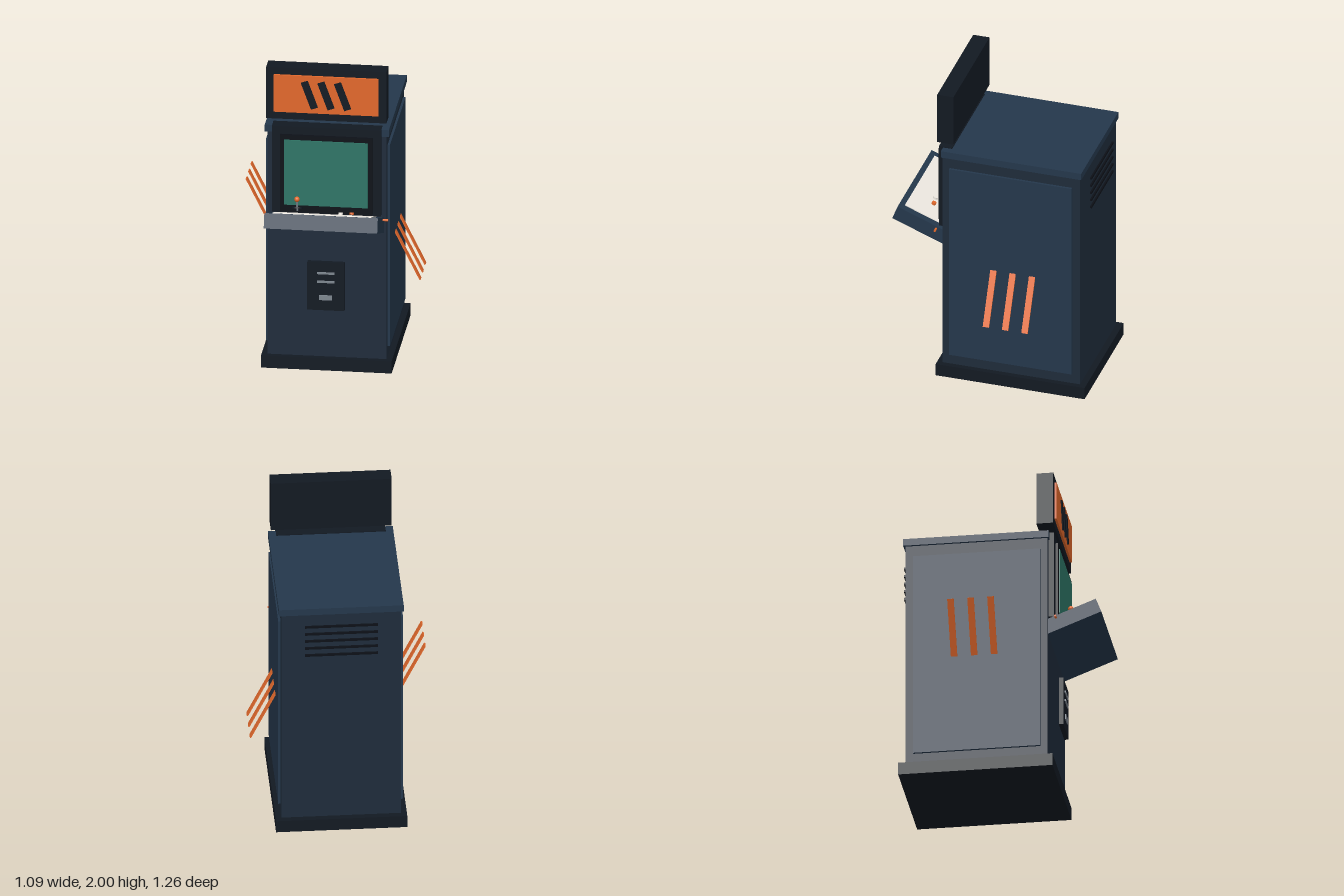
import * as THREE from 'three';

const paint = (color) => new THREE.MeshStandardMaterial({ color });
const navy = paint(0x1e2b3a), blue = paint(0x24374b), black = paint(0x121922), darkest = paint(0x0c1017);
const orange = paint(0xe2682b), cream = paint(0xede8e0), green = paint(0x2e7566), grey = paint(0x7d868f);

export function createModel() {
  const root = new THREE.Group();
  root.name = 'arcadeCabinet';

  const add = (name, geometry, material, x, y, z, parent = root) => {
    const mesh = new THREE.Mesh(geometry, material);
    mesh.name = name;
    mesh.position.set(x, y, z);
    parent.add(mesh);
    return mesh;
  };
  // Box given by its lowest and highest corner
  const box = (name, material, [x0, y0, z0], [x1, y1, z1], parent = root) =>
    add(name, new THREE.BoxGeometry(x1 - x0, y1 - y0, z1 - z0), material,
      (x0 + x1) / 2, (y0 + y1) / 2, (z0 + z1) / 2, parent);

  // Cabinet
  box('plinth', black, [-0.405, 0, -0.625], [0.405, 0.08, 0.335]);
  box('body', navy, [-0.37, 0.08, -0.585], [0.37, 1.56, 0.3]);
  box('roof', blue, [-0.385, 1.56, -0.597], [0.385, 1.605, 0.308]);

  // Side panels and their leaning stripes
  for (const side of [-1, 1]) {
    add('sidePanel', new THREE.BoxGeometry(0.025, 1.335, 0.79), blue, side * 0.3725, 0.8175, -0.14);
    for (const z of [-0.28, -0.155, -0.031]) {
      const stripe = add('sideStripe', new THREE.BoxGeometry(0.008, 0.69, 0.04), orange, side * 0.386, 0.798, z);
      stripe.rotation.z = 0.46;
    }
  }

  // Sign above the roof
  box('signCase', black, [-0.373, 1.66, 0.23], [0.373, 2, 0.335]);
  box('signPanel', orange, [-0.325, 1.71, 0.33], [0.325, 1.955, 0.349]);
  for (const x of [-0.103, 0, 0.103]) {
    const slash = add('signSlash', new THREE.BoxGeometry(0.045, 0.185, 0.01), black, x, 1.832, 0.351);
    slash.rotation.z = 0.35;
  }

  // Screen
  box('screenSurround', black, [-0.338, 1.04, 0.25], [0.338, 1.61, 0.335]);
  box('screenFrame', darkest, [-0.285, 1.05, 0.3], [0.285, 1.56, 0.353]);
  box('screen', green, [-0.26, 1.1, 0.34], [0.26, 1.53, 0.36]);

  // Sloping control deck
  const deck = new THREE.Group();
  deck.name = 'controlDeck';
  deck.position.set(0, 1.026, 0.446);
  deck.rotation.x = -0.37;
  root.add(deck);
  box('deckCase', blue, [-0.352, -0.0475, -0.18], [0.352, 0.0475, 0.18], deck);
  box('deckTop', cream, [-0.306, 0.04, -0.146], [0.306, 0.053, 0.146], deck);
  const trim = add('trimRod', new THREE.CylinderGeometry(0.007, 0.007, 0.77, 12), orange, 0, 1.023, 0.348);
  trim.rotation.z = Math.PI / 2;

  // Joystick
  const plate = add('joystickPlate', new THREE.CylinderGeometry(0.035, 0.035, 0.01, 24), black, -0.172, 1.1, 0.4);
  plate.rotation.x = -0.37;
  const shaft = new THREE.LineCurve3(new THREE.Vector3(-0.172, 1.08, 0.397), new THREE.Vector3(-0.172, 1.16, 0.414));
  add('joystickShaft', new THREE.TubeGeometry(shaft, 1, 0.006, 10), grey, 0, 0, 0);
  add('joystickBall', new THREE.SphereGeometry(0.017, 20, 14), orange, -0.172, 1.162, 0.415);

  // Push buttons
  for (const [x, z, material] of [[0.1, 0.43, cream], [0.167, 0.42, orange]]) {
    const button = add('button', new THREE.CylinderGeometry(0.014, 0.014, 0.014, 20), material, x, 1.086, z);
    button.rotation.x = -0.37;
  }

  // Coin door with slots
  box('coinDoor', black, [-0.115, 0.41, 0.332], [0.115, 0.727, 0.36]);
  for (const [y, w, h] of [[0.657, 0.11, 0.013], [0.6, 0.11, 0.013], [0.495, 0.08, 0.032]]) {
    add('coinSlot', new THREE.BoxGeometry(w, h, 0.01), grey, 0, y, 0.362);
  }

  // Rear vents
  for (let i = 0; i < 5; i++) {
    add('vent', new THREE.BoxGeometry(0.45, 0.014, 0.01), darkest, 0, 1.275 + i * 0.0515, -0.61);
  }
  return root;
}
